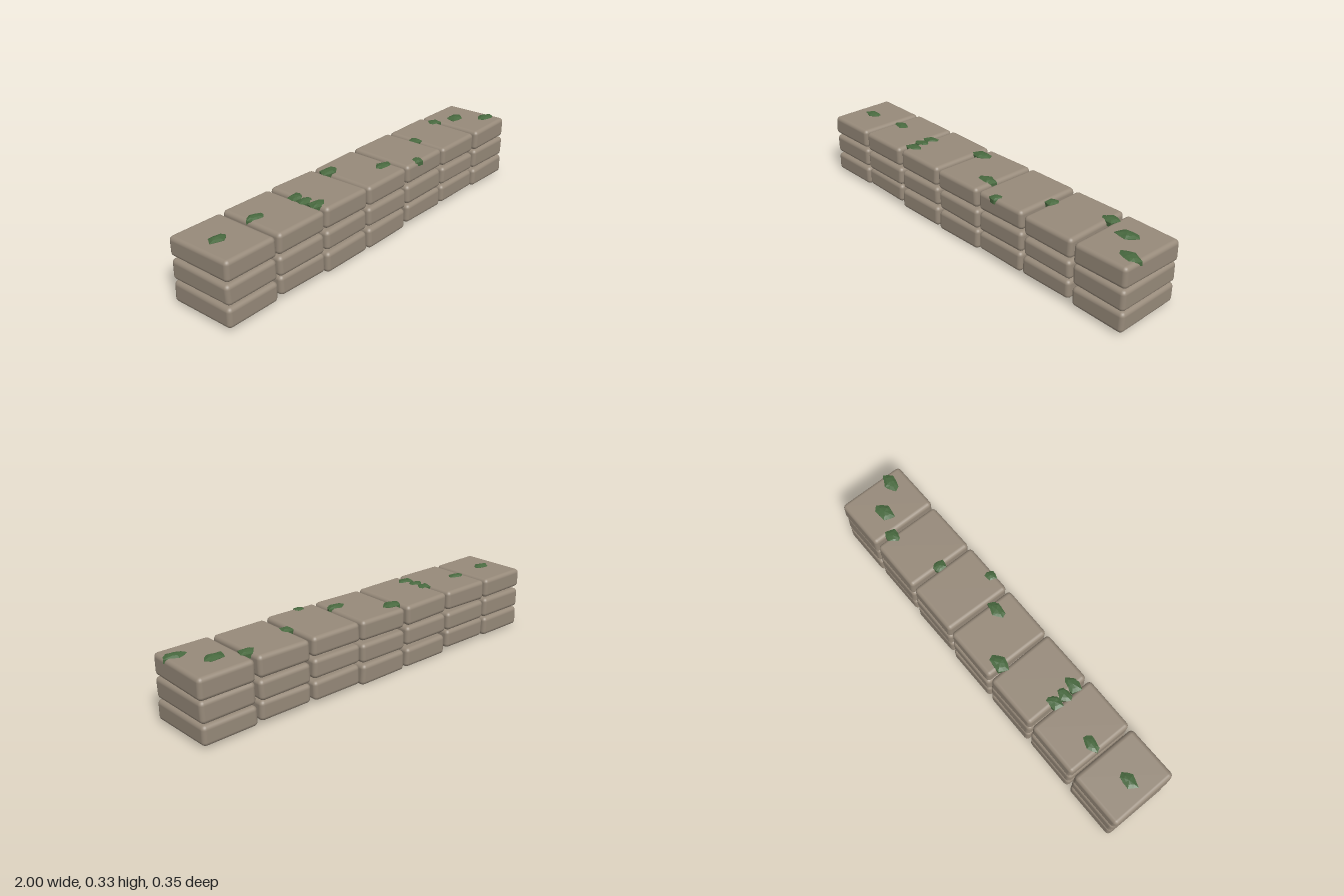
import * as THREE from 'three';
import { RoundedBoxGeometry } from 'three/addons/geometries/RoundedBoxGeometry.js';

// small seeded generator, returns -1..1
function seeded(seed) {
  let s = seed;
  return () => {
    s = (s * 16807) % 2147483647;
    return (s / 2147483647) * 2 - 1;
  };
}

// rounded block whose eight corners are nudged slightly, so every stone is a little uneven
function stoneGeometry(w, h, d, rand) {
  const geo = new RoundedBoxGeometry(w, h, d, 3, 0.02);
  const skew = Array.from({ length: 8 }, () => [rand() * 0.003, rand() * 0.003, rand() * 0.003]);
  const p = geo.attributes.position;
  for (let i = 0; i < p.count; i++) {
    const v = [p.getX(i), p.getY(i), p.getZ(i)];
    const t = [v[0] / w + 0.5, v[1] / h + 0.5, v[2] / d + 0.5];
    skew.forEach((offset, c) => {
      let k = 1;
      for (let a = 0; a < 3; a++) k *= (c >> a) & 1 ? t[a] : 1 - t[a];
      for (let a = 0; a < 3; a++) v[a] += offset[a] * k;
    });
    p.setXYZ(i, ...v);
  }
  return geo;
}

// ragged clump: straight rim, bumpy shoulder and a low peak, built from rings
function mossGeometry(rx, rz, rand) {
  const n = 9;
  const rings = [[1, 0], [1, 0.019], [0.55, 0.026]];
  const spread = Array.from({ length: n }, (_, i) => (i % 2 ? 0.82 : 1) + rand() * 0.06);
  const pos = [], index = [];
  for (const [r, y] of rings) {
    for (let i = 0; i < n; i++) {
      const a = (i / n) * Math.PI * 2;
      pos.push(Math.cos(a) * rx * r * spread[i], y + (y ? rand() * 0.0015 : 0), Math.sin(a) * rz * r * spread[i]);
    }
  }
  pos.push(0, 0.029, 0, 0, 0, 0);
  const top = n * rings.length;
  for (let i = 0; i < n; i++) {
    const j = (i + 1) % n;
    for (let k = 0; k < rings.length - 1; k++) {
      const a = k * n + i, b = k * n + j;
      index.push(a, a + n, b, b, a + n, b + n);
    }
    index.push(2 * n + i, top, 2 * n + j);
    index.push(i, j, top + 1);
  }
  const geo = new THREE.BufferGeometry();
  geo.setAttribute('position', new THREE.Float32BufferAttribute(pos, 3));
  geo.setIndex(index);
  const flat = geo.toNonIndexed();
  flat.computeVertexNormals();
  return flat;
}

export function createModel() {
  const stone = new THREE.MeshStandardMaterial({ color: 0x978a7a });
  stone.name = 'warm grey stone';
  const moss = new THREE.MeshStandardMaterial({ color: 0x48693f });
  moss.name = 'moss green';

  const wall = new THREE.Group();
  wall.name = 'stoneWall';
  const rand = seeded(4821);

  // seven columns of three stones: x centre, then bottom and top height of each course
  const columns = [
    [-0.862, [0.012, 0.108], [0.115, 0.214], [0.224, 0.321]],
    [-0.577, [0.024, 0.116], [0.12, 0.212], [0.224, 0.321]],
    [-0.291, [0.006, 0.103], [0.12, 0.212], [0.224, 0.321]],
    [-0.005, [0.004, 0.105], [0.113, 0.209], [0.224, 0.32]],
    [0.28, [0.021, 0.117], [0.126, 0.219], [0.232, 0.324]],
    [0.566, [0.024, 0.116], [0.12, 0.214], [0.224, 0.321]],
    [0.855, [0.013, 0.107], [0.115, 0.215], [0.218, 0.319]],
  ];
  columns.forEach(([x, ...courses]) => {
    courses.forEach(([y0, y1], row) => {
      const block = new THREE.Mesh(stoneGeometry(0.272, y1 - y0, 0.342, rand), stone);
      block.name = ['lowerStone', 'middleStone', 'topStone'][row];
      block.position.set(x, (y0 + y1) / 2, -0.003 + rand() * 0.002);
      block.rotation.set(rand() * 0.007, rand() * 0.007, rand() * 0.007);
      wall.add(block);
    });
  });

  // moss clumps on the top: x, z, half width, half depth, turn
  const clumps = [
    [-0.89, 0, 0.05, 0.033, 0],
    [-0.665, -0.02, 0.05, 0.033, 3.1],
    [-0.42, -0.02, 0.048, 0.034, 0.2],
    [-0.418, 0.035, 0.048, 0.03, 3.3],
    [-0.408, 0.097, 0.052, 0.036, 0.1],
    [-0.125, -0.094, 0.056, 0.038, 0],
    [0.087, 0.06, 0.054, 0.038, 3.1],
    [0.24, 0.146, 0.036, 0.03, 0.2],
    [0.43, -0.005, 0.031, 0.037, 0.4],
    [0.697, -0.084, 0.048, 0.036, 3.2],
    [0.826, -0.036, 0.054, 0.04, 0.2],
    [0.94, 0.083, 0.055, 0.038, 3.0],
  ];
  clumps.forEach(([x, z, rx, rz, turn]) => {
    const clump = new THREE.Mesh(mossGeometry(rx, rz, rand), moss);
    clump.name = 'mossClump';
    clump.position.set(x, 0.301, z);
    clump.rotation.y = turn;
    wall.add(clump);
  });
  return wall;
}
